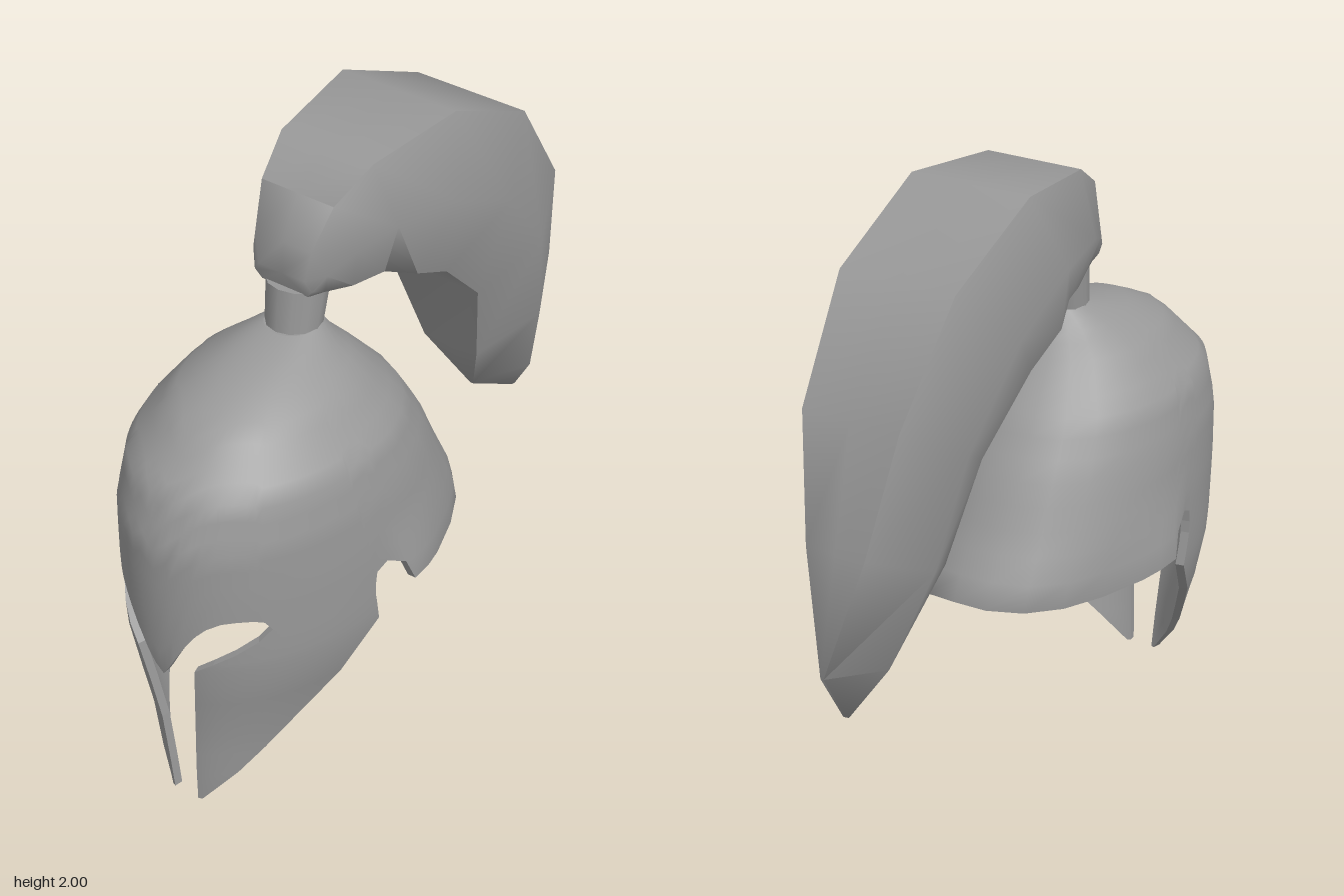
import * as THREE from 'three';
import { toCreasedNormals } from 'three/addons/utils/BufferGeometryUtils.js';

// Shell rings by height: y, front z, back z, centre z, half width
const RINGS = [
  [0, 0.9, -0.28, 0.3, 0.27], [0.12, 0.91, -0.28, 0.3, 0.29], [0.3, 0.925, -0.28, 0.3, 0.33],
  [0.48, 0.955, -0.28, 0.3, 0.385], [0.6, 0.98, -0.28, 0.3, 0.405], [0.67, 0.985, -0.31, 0.3, 0.41],
  [0.75, 0.99, -0.27, 0.3, 0.412], [0.87, 0.993, -0.2, 0.33, 0.409], [1.04, 0.993, -0.115, 0.38, 0.396],
  [1.2, 0.94, -0.01, 0.42, 0.366], [1.35, 0.78, 0.13, 0.42, 0.25], [1.42, 0.62, 0.2, 0.38, 0.155],
  [1.47, 0.41, 0.23, 0.32, 0.085],
];
const THICK = 0.028;
const SEAM = 0.75; // height where cheek guards join the skull
const CHEEK_STEPS = 10;

function ringAt(y) {
  let i = 0;
  while (i < RINGS.length - 2 && y > RINGS[i + 1][0]) i++;
  const a = RINGS[i], b = RINGS[i + 1], k = (y - a[0]) / (b[0] - a[0]);
  return a.map((v, j) => v + (b[j] - v) * k);
}

// Point on the shell at angle t from the front; it flares just behind the ear notch
function shellPoint([t, y], inset = 0) {
  const [, zf, zb, zc, w] = ringAt(y);
  const a = Math.abs(t);
  const flare = 1 + 0.07 * THREE.MathUtils.smoothstep(a, 1.4, 1.57)
    * (1 - THREE.MathUtils.smoothstep(a, 1.57, 2.1)) * THREE.MathUtils.clamp((0.9 - y) / 0.2, 0, 1);
  const c = Math.cos(t);
  const depth = (c > 0 ? zf - zc : zc - zb) - inset;
  return new THREE.Vector3((w * flare - inset) * Math.sin(t), y, zc + depth * c);
}

function shellNormal([t, y]) {
  const e = 0.03;
  const dt = shellPoint([t + e, y]).sub(shellPoint([t - e, y]));
  const dy = shellPoint([t, Math.min(y + e, 1.47)]).sub(shellPoint([t, Math.max(y - e, 0)]));
  return dt.cross(dy).normalize();
}

// Thick curved sheet from rows of [angle, height], bottom to top
function sheet(rows) {
  const pos = [], nor = [];
  const put = (p, n) => { pos.push(p.x, p.y, p.z); nor.push(n.x, n.y, n.z); };
  const outer = (q) => put(shellPoint(q), shellNormal(q));
  const inner = (q) => put(shellPoint(q, THICK), shellNormal(q).negate());
  const nr = rows.length - 1, nc = rows[0].length - 1;
  for (let r = 0; r < nr; r++) {
    for (let c = 0; c < nc; c++) {
      const a = rows[r][c], b = rows[r][c + 1], d = rows[r + 1][c + 1], e = rows[r + 1][c];
      [a, b, d, a, d, e].forEach(outer);
      [a, d, b, a, e, d].forEach(inner);
    }
  }
  // rim around the border, left open at the cheek and rear joins
  const border = [
    ...rows[0].slice(0, nc), ...rows.slice(0, nr).map((r) => r[nc]),
    ...rows[nr].slice(1).reverse(), ...rows.slice(1).map((r) => r[0]).reverse(),
  ];
  border.forEach((p, i) => {
    const q = border[(i + 1) % border.length];
    const joined = (p[1] === SEAM && q[1] === SEAM) || (Math.abs(p[0]) === Math.PI && p[0] === q[0]);
    if (joined) return;
    const po = shellPoint(p), pi = shellPoint(p, THICK), qi = shellPoint(q, THICK), qo = shellPoint(q);
    const n = qi.clone().sub(po).cross(qo.clone().sub(pi)).normalize();
    [po, pi, qi, po, qi, qo].forEach((v) => put(v, n));
  });
  const g = new THREE.BufferGeometry();
  g.setAttribute('position', new THREE.Float32BufferAttribute(pos, 3));
  g.setAttribute('normal', new THREE.Float32BufferAttribute(nor, 3));
  return g;
}

// Dome with nose guard, brow arches, ear notches and neck guard
function skullGeometry() {
  const seam = Array.from({ length: CHEEK_STEPS + 1 }, (_, i) => [0.76 + 0.59 * i / CHEEK_STEPS, SEAM]);
  const half = [ // angle, lower edge height
    [0, 0.55], [0.06, 0.585], [0.122, 0.63], [0.221, 0.7], [0.3, 0.747], [0.374, 0.777], [0.47, 0.797],
    [0.566, 0.8], [0.66, 0.795], [0.72, 0.783], ...seam,
    [1.37, 0.79], [1.44, 0.81], [1.53, 0.77], [1.57, 0.69], [1.7, 0.683], [1.83, 0.675], [2.1, 0.665],
    [2.36, 0.66], [2.62, 0.662], [2.88, 0.672], [Math.PI, 0.68],
  ];
  const cols = [...half.slice(1).reverse().map(([t, y]) => [-t, y]), ...half];
  const rows = [], n = 16;
  for (let r = 0; r <= n; r++) {
    const k = 1 - (1 - r / n) ** 1.6;
    rows.push(cols.map(([t, lo]) => [t, lo + (1.47 - lo) * k]));
  }
  return sheet(rows);
}

// Cheek guard between its inner edge and its slanted rear edge
function cheekGeometry(side) {
  const edges = [ // height, inner angle, outer angle
    [0.005, 0.17, 0.22], [0.12, 0.18, 0.55], [0.21, 0.19, 0.74], [0.3, 0.2, 0.91], [0.45, 0.23, 1.17],
    [0.6, 0.27, 1.38], [0.635, 0.4, 1.37], [0.67, 0.54, 1.36], [0.71, 0.68, 1.35], [SEAM, 0.76, 1.35],
  ];
  return sheet(edges.map(([y, t0, t1]) => {
    const row = Array.from({ length: CHEEK_STEPS + 1 },
      (_, i) => [side * (t0 + (t1 - t0) * i / CHEEK_STEPS), y]);
    return side > 0 ? row : row.reverse();
  }));
}

// Plume lofted through six-sided sections:
// outer z, y, inner z, y, half width, share of the width that is flat
function plumeGeometry() {
  const sections = [
    [0.37, 1.66, 0.355, 1.6, 0.105, 0.8], [0.36, 1.76, 0.3, 1.595, 0.135, 0.75],
    [0.29, 1.89, 0.2, 1.575, 0.18, 0.72], [0.15, 1.975, 0.09, 1.58, 0.235, 0.7],
    [-0.2, 2, -0.02, 1.53, 0.285, 0.72], [-0.58, 1.82, -0.18, 1.45, 0.292, 0.68],
    [-0.82, 1.48, -0.4, 1.24, 0.262, 0.64], [-0.91, 1.1, -0.5, 0.92, 0.205, 0.5],
    [-0.99, 0.73, -0.63, 0.69, 0.11, 0.05], [-0.885, 0.555, -0.87, 0.548, 0.01, 0.5],
  ];
  const pos = [], idx = [], n = 8, last = sections.length - 1;
  for (const [zo, yo, zi, yi, w, f] of sections) {
    const outline = [[0, 1], [f, 1], [1, 0], [f, -1], [0, -1], [-f, -1], [-1, 0], [-f, 1]];
    for (const [x, d] of outline) {
      pos.push(w * x, (yo + yi + (yo - yi) * d) / 2, (zo + zi + (zo - zi) * d) / 2);
    }
  }
  for (let s = 0; s < last; s++) {
    for (let j = 0; j < n; j++) {
      const a = s * n + j, b = s * n + (j + 1) % n;
      idx.push(a, b, b + n, a, b + n, a + n);
    }
  }
  // end caps
  for (let j = 1; j < n - 1; j++) {
    idx.push(0, j + 1, j, last * n, last * n + j, last * n + j + 1);
  }
  const g = new THREE.BufferGeometry();
  g.setAttribute('position', new THREE.Float32BufferAttribute(pos, 3));
  g.setIndex(idx);
  return toCreasedNormals(g, 1.1);
}

export function createModel() {
  const group = new THREE.Group();
  group.name = 'crestedHelmet';
  const metal = new THREE.MeshStandardMaterial({ color: 0x999999 });
  metal.name = 'grey';
  const add = (name, geometry) => {
    const mesh = new THREE.Mesh(geometry, metal);
    mesh.name = name;
    group.add(mesh);
    return mesh;
  };

  add('skull', skullGeometry());
  add('leftCheekGuard', cheekGeometry(1));
  add('rightCheekGuard', cheekGeometry(-1));

  // short post leaning back under the plume
  const post = add('crestPost', new THREE.CylinderGeometry(0.095, 0.085, 0.16, 12));
  post.position.set(0, 1.515, 0.308);
  post.rotation.x = -0.17;

  add('plume', plumeGeometry());
  return group;
}
